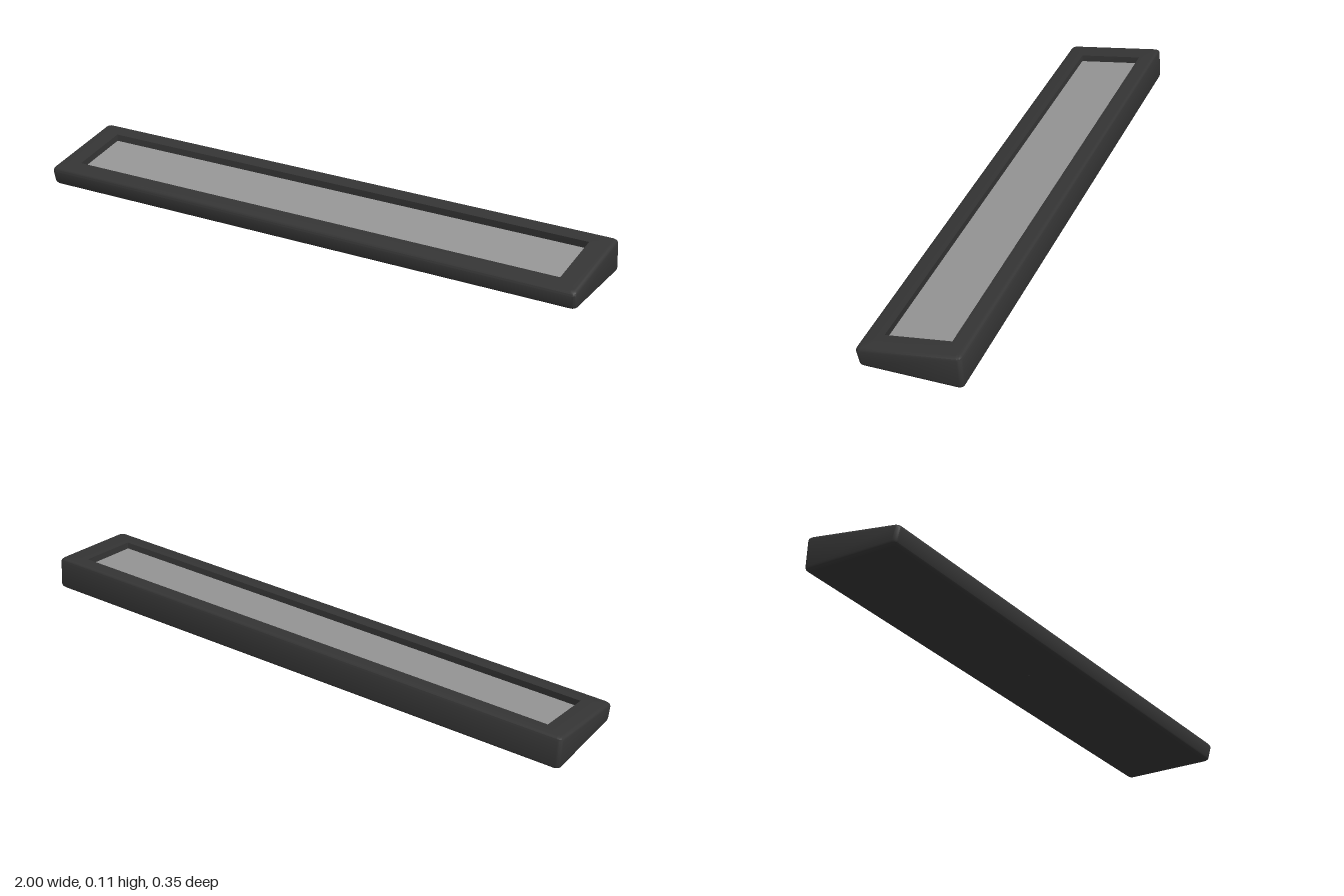
import * as THREE from 'three';
import { toCreasedNormals } from 'three/addons/utils/BufferGeometryUtils.js';

const topAt = z => 0.0905 - 0.152 * z; // sloping top plane
const DEPTH = 0.024;                   // recess depth
const STEPS = 4;                       // segments per rounded corner

// Rounded rectangle in plan, counter-clockwise from above; height is a rule of z
function ring(halfX, front, back, radius, height) {
  const pts = [];
  const corners = [[1, back], [-1, back], [-1, front], [1, front]];
  corners.forEach(([sx, z], k) => {
    const sz = z === back ? 1 : -1;
    for (let i = 0; i <= STEPS; i++) {
      const a = (k + i / STEPS) * Math.PI / 2;
      const px = sx * (halfX - radius) + radius * Math.cos(a);
      const pz = z + sz * radius - radius * Math.sin(a);
      pts.push([px, height(pz), pz]);
    }
  });
  return pts;
}

// Skin consecutive rings
function loft(rings) {
  const pos = [];
  const n = rings[0].length;
  for (let r = 0; r < rings.length - 1; r++) {
    for (let i = 0; i < n; i++) {
      const j = (i + 1) % n;
      const a = rings[r][i], b = rings[r][j], c = rings[r + 1][j], d = rings[r + 1][i];
      pos.push(...a, ...b, ...c, ...a, ...c, ...d);
    }
  }
  const g = new THREE.BufferGeometry();
  g.setAttribute('position', new THREE.Float32BufferAttribute(pos, 3));
  return toCreasedNormals(g, 0.6);
}

export function createModel() {
  const group = new THREE.Group();
  const casing = new THREE.MeshStandardMaterial({ color: 0x353535 });
  casing.name = 'dark casing';
  const panelGrey = new THREE.MeshStandardMaterial({ color: 0x969696 });
  panelGrey.name = 'panel grey';

  // Wedge casing: underside, rounded edges, flared walls, rim and recess
  const R = 0.013;
  const rings = [ring(0.001, 0.001, -0.001, 0.0005, () => 0)];
  for (let i = 0; i <= 3; i++) {
    const a = i / 3 * Math.PI / 2, inset = R * (1 - Math.sin(a));
    rings.push(ring(1 - inset, 0.165 - inset, -0.175 + inset, 0.014, () => R * (1 - Math.cos(a))));
  }
  for (let i = 0; i <= 3; i++) {
    const a = i / 3 * Math.PI / 2, inset = R * (1 - Math.cos(a));
    rings.push(ring(1 - inset, 0.175 - inset, -0.169 + inset, 0.014, z => topAt(z) - R * (1 - Math.sin(a))));
  }
  rings.push(ring(0.92, 0.11, -0.11, 0.001, topAt));
  rings.push(ring(0.92, 0.11, -0.11, 0.001, z => topAt(z) - DEPTH));
  const body = new THREE.Mesh(loft(rings), casing);
  body.name = 'casing';
  group.add(body);

  // Inset panel lying on the recess floor
  const floor = z => topAt(z) - DEPTH;
  const panel = new THREE.Mesh(loft([
    ring(0.92, 0.11, -0.11, 0.001, floor),
    ring(0.001, 0.001, -0.001, 0.0005, floor),
  ]), panelGrey);
  panel.name = 'insetPanel';
  group.add(panel);
  return group;
}
